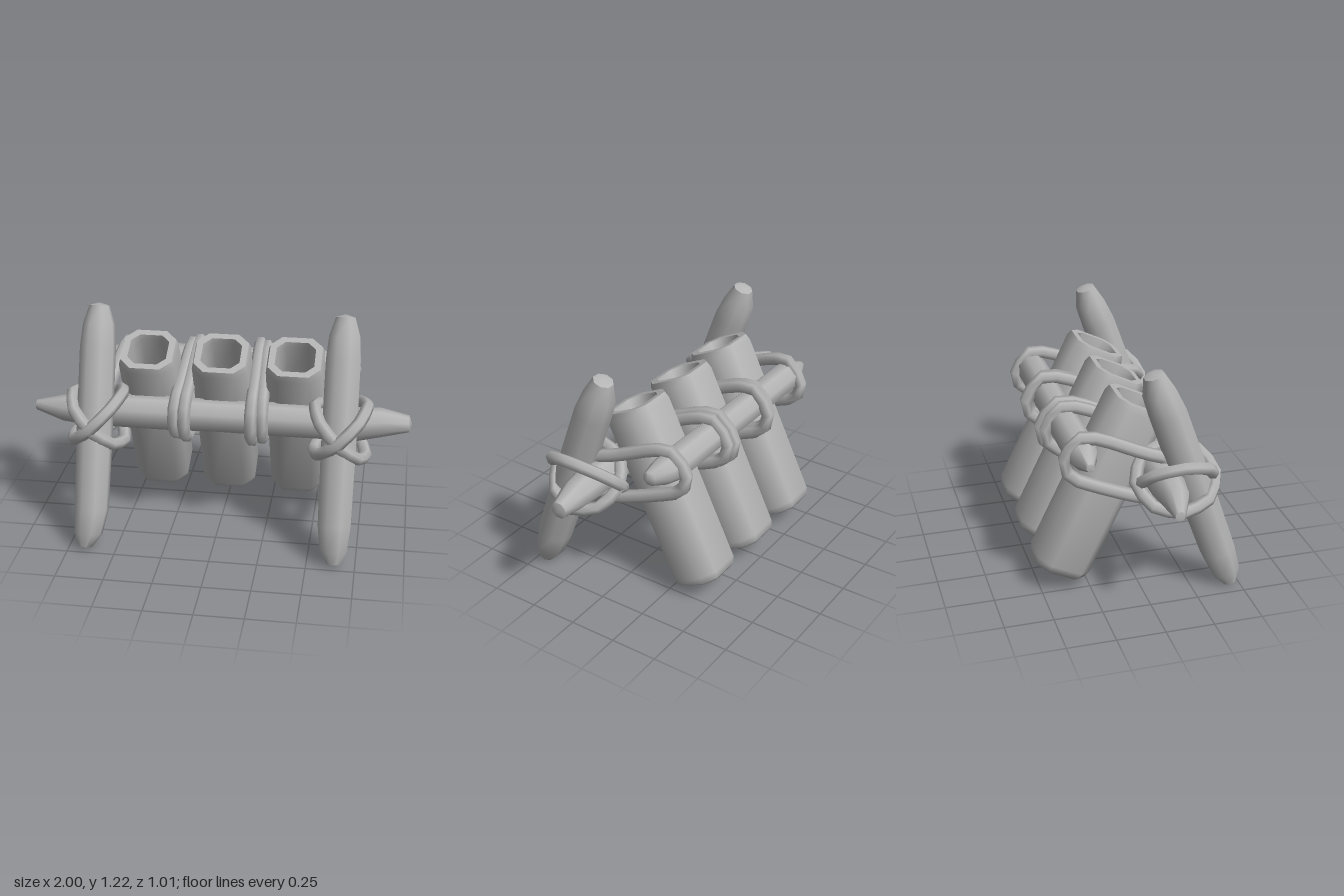
import * as THREE from 'three';
import { toCreasedNormals } from 'three/addons/utils/BufferGeometryUtils.js';

const grey = new THREE.MeshStandardMaterial({ color: 0xb4b4b4 });
grey.name = 'grey';

// Cross-sections as [x, z] corners
const round = Array.from({ length: 8 }, (_, i) => {
  const a = (i + 0.5) * Math.PI / 4;
  return [Math.cos(a) * 1.05, Math.sin(a) * 1.05];
});
const chamferedSquare = [[1, -0.58], [1, 0.58], [0.58, 1], [-0.58, 1], [-1, 0.58], [-1, -0.58], [-0.58, -1], [0.58, -1]];

// Skins a section along rings of [y, scale, offsetX, offsetZ]
function loft(section, rings) {
  const n = section.length, pos = [], idx = [];
  rings.forEach(([y, s, ox = 0, oz = 0]) => section.forEach(([x, z]) => pos.push(x * s + ox, y, z * s + oz)));
  for (let r = 0; r < rings.length - 1; r++) {
    for (let i = 0; i < n; i++) {
      const a = r * n + i, b = r * n + (i + 1) % n, c = a + n, d = b + n;
      if (rings[r][1] > 0) idx.push(a, c, b);
      if (rings[r + 1][1] > 0) idx.push(c, d, b);
    }
  }
  const g = new THREE.BufferGeometry();
  g.setAttribute('position', new THREE.Float32BufferAttribute(pos, 3));
  g.setIndex(idx);
  return toCreasedNormals(g, 0.9);
}

function add(group, name, geometry, x = 0, y = 0, z = 0) {
  const mesh = new THREE.Mesh(geometry, grey);
  mesh.name = name;
  mesh.position.set(x, y, z);
  group.add(mesh);
  return mesh;
}

// Closed rope through a list of points
function rope(group, name, points, radius) {
  const curve = new THREE.CatmullRomCurve3(points, true, 'catmullrom', 0.3);
  return add(group, name, new THREE.TubeGeometry(curve, points.length * 2, radius, 6, true));
}

// Rope loop around both crossbars; points are [z, y]
const wrapPath = [[0.18, 0.64], [0.14, 0.735], [0, 0.785], [-0.22, 0.88], [-0.33, 0.885],
  [-0.40, 0.76], [-0.35, 0.67], [-0.15, 0.585], [0.02, 0.53], [0.13, 0.55]];
function wrap(group, name, xFront, xBack, grow, radius) {
  const pts = wrapPath.map(([z, y]) => {
    const t = (0.18 - z) / 0.58;
    return new THREE.Vector3(
      THREE.MathUtils.lerp(xFront, xBack, t),
      0.71 + (y - 0.71) * grow,
      -0.11 + (z + 0.11) * grow);
  });
  rope(group, name, pts, radius);
}

export function createModel() {
  const model = new THREE.Group();
  model.name = 'tubeRack';

  // Hollow tubes leaning back
  for (const x of [-0.385, 0, 0.385]) {
    const tube = add(model, 'tube', loft(chamferedSquare, [
      [0, 0], [0, 0.118], [0.015, 0.136], [0.05, 0.146], [0.95, 0.146], [0.985, 0.136],
      [0.985, 0.102], [0.95, 0.098], [0.72, 0.096], [0.72, 0],
    ]), x, 0.09, -0.4);
    tube.rotation.x = 0.453;
  }

  // Front crossbar with pointed ends
  const frontBar = add(model, 'frontCrossbar', loft(round, [
    [-1, 0, 0.01, -0.03], [-0.995, 0.025, 0.01, -0.03], [-0.84, 0.066, 0.005, 0], [-0.72, 0.083],
    [-0.3, 0.086], [0, 0.08], [0.3, 0.084], [0.72, 0.084], [0.84, 0.073, -0.01, -0.015],
    [0.985, 0.042, -0.005, -0.03], [1, 0, -0.005, -0.03],
  ]), 0, 0.645, 0.09);
  frontBar.rotation.z = -Math.PI / 2;

  // Shorter rear crossbar
  const rearBar = add(model, 'rearCrossbar', loft(round, [
    [-0.72, 0], [-0.715, 0.02], [-0.6, 0.066], [-0.52, 0.078], [0, 0.077], [0.54, 0.078],
    [0.62, 0.065, 0, 0.01], [0.705, 0.035, 0, 0.025], [0.72, 0, 0, 0.025],
  ]), 0, 0.8, -0.3);
  rearBar.rotation.z = -Math.PI / 2;

  // Sharpened front stakes and their crossed lashings
  for (const side of [-1, 1]) {
    const foot = side < 0 ? -0.025 : 0.005;
    const stake = add(model, 'stake', loft(round, [
      [-0.005, 0, foot], [0, 0.035, foot], [0.07, 0.071, foot / 2], [0.2, 0.086], [0.6, 0.091],
      [1.05, 0.09], [1.17, 0.08, 0, -0.005], [1.265, 0.05, 0, 0.0], [1.28, 0, 0, 0.0],
    ]), side * 0.635, 0.015, 0.455);
    stake.rotation.x = -0.34;

    for (const slant of [-1, 1]) {
      const pts = Array.from({ length: 8 }, (_, i) => {
        const a = i * Math.PI / 4;
        return new THREE.Vector3(
          side * 0.635 + slant * 0.135 * Math.cos(a),
          0.64 + 0.128 * Math.cos(a) + 0.008 * slant,
          0.155 + (0.2 + 0.006 * slant) * Math.sin(a));
      });
      rope(model, 'stakeLashing', pts, 0.033);
    }

    // Double ropes between the tubes, single ropes at the ends
    wrap(model, 'innerLashing', side * 0.175, side * 0.165, 1.08, 0.034);
    wrap(model, 'innerLashing', side * 0.23, side * 0.2, 1.02, 0.034);
    wrap(model, 'endLashing', side * 0.61, side * 0.555, 0.98, 0.034);
  }
  return model;
}
